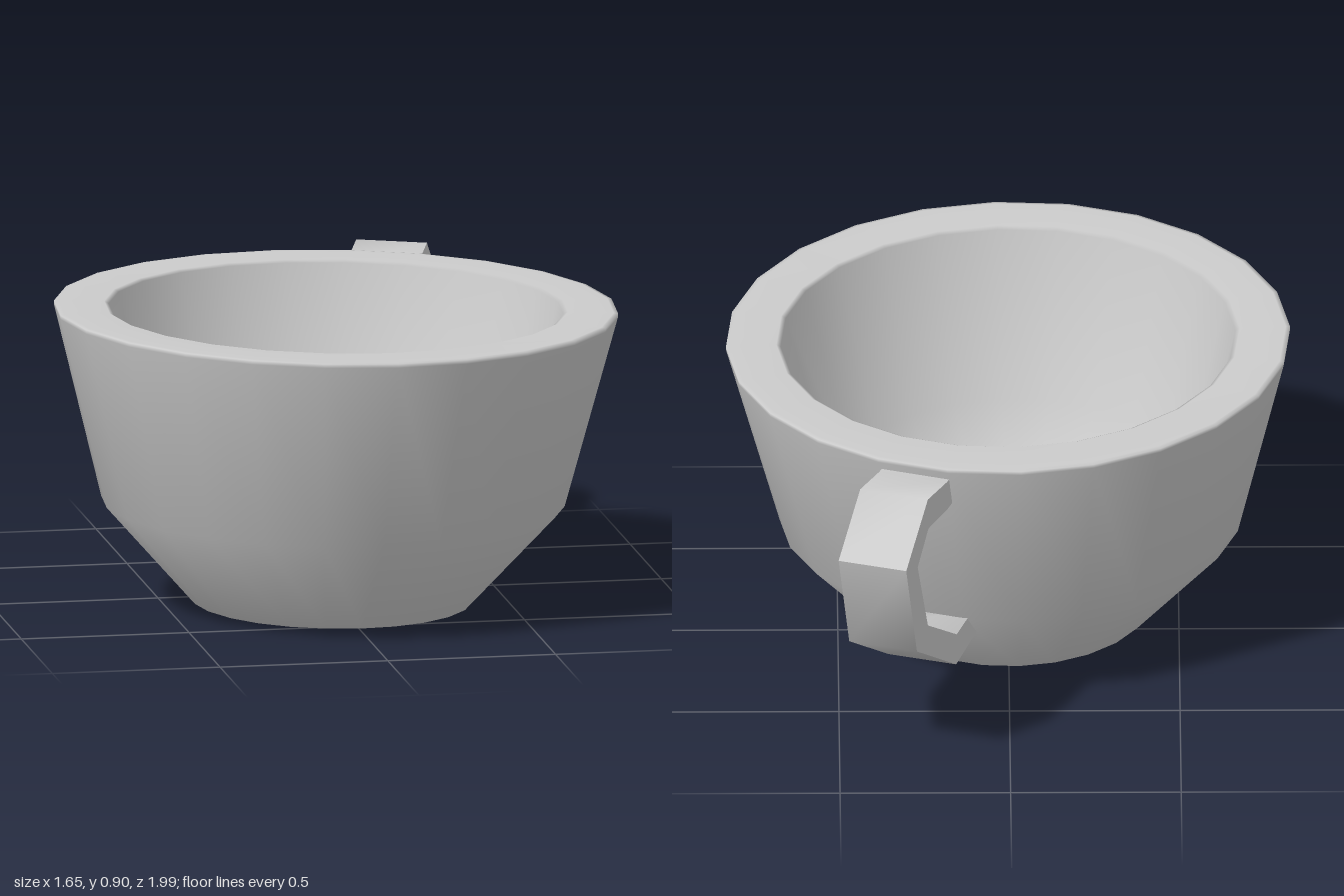
import * as THREE from 'three';
import { toCreasedNormals } from 'three/addons/utils/BufferGeometryUtils.js';

const toPoints = (pairs) => pairs.map(([x, y]) => new THREE.Vector2(x, y));

export function createModel() {
  const material = new THREE.MeshStandardMaterial({ color: 0xcccccc });
  const model = new THREE.Group();
  model.name = 'cup';

  // Thick-walled bowl: underside, outer wall, rim, inner wall, inner floor
  const profile = toPoints([
    [0, 0], [0.4, 0], [0.41, 0.004],
    [0.68, 0.3],
    [0.827, 0.868], [0.828, 0.88], [0.815, 0.882],
    [0.68, 0.882], [0.667, 0.875],
    [0.54, 0.376],
    [0.34, 0.155], [0, 0.155],
  ]);
  const bowl = new THREE.Mesh(new THREE.LatheGeometry(profile, 24, 0.04), material);
  bowl.name = 'bowl';

  // Angular handle: closed side outline (distance from axis, height), extruded to its width
  const outline = toPoints([
    [0.7, 0.84], [0.83, 0.845], [1.0, 0.875], [1.2, 0.74], [1.12, 0.43], [0.78, 0.21], [0.58, 0.225],
    [0.62, 0.31], [0.77, 0.305], [1.02, 0.465], [1.1, 0.7], [1.0, 0.778], [0.83, 0.755], [0.7, 0.75],
  ]);
  const width = 0.21;
  const strap = new THREE.ExtrudeGeometry(new THREE.Shape(outline), { depth: width, bevelEnabled: false });
  strap.translate(0, 0, -width / 2);
  const handle = new THREE.Mesh(toCreasedNormals(strap, 1.2), material);
  handle.name = 'handle';
  handle.rotation.y = 1.23;
  handle.position.x = 0.006;

  // The whole cup leans very slightly to one side
  model.add(bowl, handle);
  model.position.set(-0.014, 0.012, 0.165);
  model.rotation.z = -0.016;

  const root = new THREE.Group();
  root.add(model);
  return root;
}
